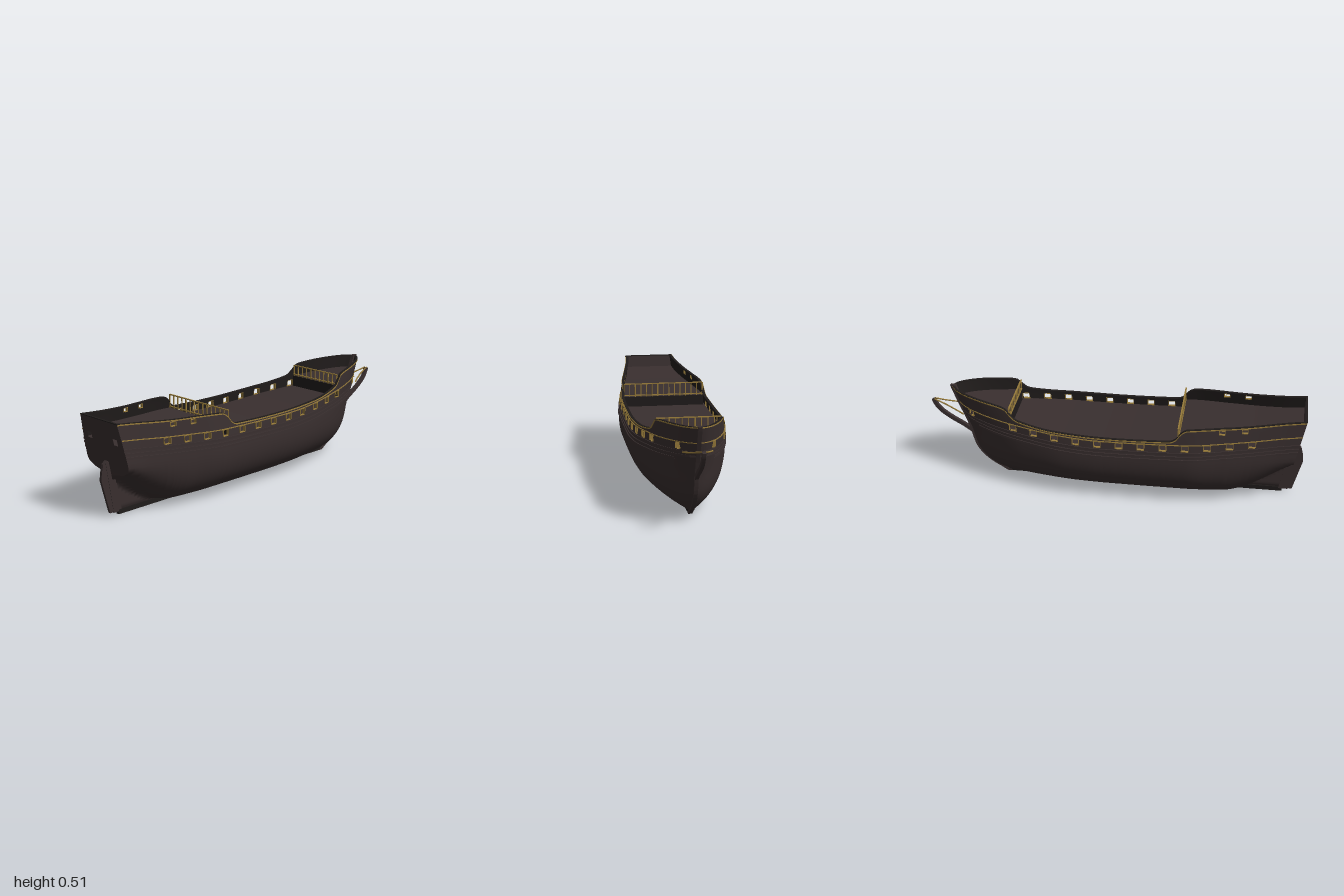
import * as THREE from 'three';

// Monotone smooth interpolation through [x, y] points
function curve(pts) {
  const s = pts.slice(1).map((p, i) => (p[1] - pts[i][1]) / (p[0] - pts[i][0]));
  const m = pts.map((p, i) => {
    if (i === 0) return s[0];
    if (i === pts.length - 1) return s[i - 1];
    return s[i - 1] * s[i] <= 0 ? 0 : 2 * s[i - 1] * s[i] / (s[i - 1] + s[i]);
  });
  return x => {
    if (x <= pts[0][0]) return pts[0][1];
    if (x >= pts[pts.length - 1][0]) return pts[pts.length - 1][1];
    let i = 0;
    while (x > pts[i + 1][0]) i++;
    const h = pts[i + 1][0] - pts[i][0], t = (x - pts[i][0]) / h, t2 = t * t, t3 = t2 * t;
    return (2 * t3 - 3 * t2 + 1) * pts[i][1] + (t3 - 2 * t2 + t) * h * m[i]
      + (3 * t2 - 2 * t3) * pts[i + 1][1] + (t3 - t2) * h * m[i + 1];
  };
}

// Hull lines: stem and stern profiles, plan, rail height and trim line
const bowX = curve([[0, 0.59], [0.02, 0.62], [0.05, 0.67], [0.1, 0.725], [0.15, 0.757], [0.2, 0.773], [0.25, 0.785], [0.3, 0.802], [0.4, 0.842], [0.505, 0.882]]);
const sternX = curve([[0, -0.895], [0.02, -0.9], [0.28, -0.952], [0.505, -1]]);
const plan = curve([[-1, 0.158], [-0.9, 0.166], [-0.8, 0.182], [-0.6, 0.217], [-0.4, 0.245], [-0.1, 0.247], [0.1, 0.246], [0.3, 0.235], [0.54, 0.19], [0.7, 0.14], [0.8, 0.092], [0.86, 0.047], [0.882, 0.018], [0.89, 0]]);
const rail = curve([[-1, 0.505], [-0.7, 0.475], [-0.4, 0.458], [-0.37, 0.443], [-0.34, 0.405], [-0.31, 0.391], [0, 0.383], [0.3, 0.393], [0.5, 0.42], [0.53, 0.44], [0.56, 0.474], [0.6, 0.484], [0.89, 0.507]]);
const trim = curve([[-1, 0.425], [-0.7, 0.395], [-0.3, 0.374], [0.05, 0.368], [0.5, 0.393], [0.88, 0.425]]);

function half(u, y) {
  const s = Math.max(0, 1 - u / 0.2), y0 = 0.02 + 0.19 * s * s, p = 2.3 - 0.7 * s;
  const B = plan(-1 + 1.89 * u);
  if (y < 0.27) {
    const t = Math.max(0, (y - y0) / (0.27 - y0));
    return Math.max(Math.min(0.008, (y - 0.02) * 0.4), B * Math.pow(1 - Math.pow(1 - t, p), 1 / p));
  }
  return B * (1 - 1.1 * Math.pow(y - 0.27, 1.5) * (1 - Math.pow(u, 6)));
}
// Point on the hull side at length fraction u on the level line y = f(x)
function hullPoint(u, f) {
  let y = 0.4, x = 0;
  for (let i = 0; i < 8; i++) {
    x = sternX(y) + u * (bowX(y) - sternX(y));
    y = f(x);
  }
  return [x, y, half(u, y)];
}
const uOf = (x, y) => (x - sternX(y)) / (bowX(y) - sternX(y));

function grid(nu, nv, fn, { skip, flip, flat } = {}) {
  const pos = [], idx = [];
  for (let j = 0; j < nv; j++) for (let i = 0; i < nu; i++) pos.push(...fn(i, j));
  for (let j = 0; j < nv - 1; j++) for (let i = 0; i < nu - 1; i++) {
    if (skip && skip(i, j)) continue;
    const a = j * nu + i, b = a + 1, c = a + nu, d = c + 1;
    if (flip) idx.push(a, d, b, a, c, d);
    else idx.push(a, b, d, a, d, c);
  }
  let g = new THREE.BufferGeometry();
  g.setAttribute('position', new THREE.Float32BufferAttribute(pos, 3));
  g.setIndex(idx);
  if (flat) g = g.toNonIndexed();
  g.computeVertexNormals();
  return g;
}

export function createModel() {
  const ship = new THREE.Group();
  ship.name = 'sailingShipHull';
  const mat = (name, color) => {
    const m = new THREE.MeshStandardMaterial({ color, side: THREE.DoubleSide });
    m.name = name;
    return m;
  };
  const wood = mat('darkWood', 0x392f2f), black = mat('blackWood', 0x201c1b), gold = mat('gold', 0x967a3a);
  const add = (name, geo, m, parent = ship) => {
    const mesh = new THREE.Mesh(geo, m);
    mesh.name = name;
    parent.add(mesh);
    return mesh;
  };
  const box = (name, m, w, h, d, x, y, z, parent) => add(name, new THREE.BoxGeometry(w, h, d), m, parent).position.set(x, y, z);

  // Level lines of the hull, from keel to rail; port rows are open where a port sits
  const low = x => trim(x) - 0.035, high = x => trim(x) - 0.003;
  const between = k => x => trim(x) + k * (rail(x) - trim(x));
  const rows = [];
  for (let k = 0; k < 20; k++) rows.push(x => 0.02 + (low(x) - 0.02) * Math.pow(k / 20, 1.5));
  const portRow = rows.length;
  rows.push(low, high, trim);
  const upperRow = rows.length;
  rows.push(between(0.62), between(0.88), rail);

  // Gun ports, quarterdeck ports and hawse holes
  const ports = [];
  const port = (x, w, row) => {
    const y = (rows[row](x) + rows[row + 1](x)) / 2;
    ports.push({ u0: uOf(x - w / 2, y), u1: uOf(x + w / 2, y), row, w });
  };
  for (let i = 0; i < 12; i++) port(-0.73 + i * 0.1136, 0.036, portRow);
  port(0.76, 0.022, portRow);
  port(-0.69, 0.03, upperRow);
  port(-0.575, 0.03, upperRow);

  let us = [0.985, 0.994, 0.998];
  for (let i = 0; i <= 90; i++) us.push(i / 90);
  ports.forEach(p => us.push(p.u0, p.u1));
  us = us.sort((a, b) => a - b);
  const isOpen = (i, row) => {
    const m = (us[i] + us[i + 1]) / 2;
    return ports.some(p => p.row === row && m > p.u0 && m < p.u1);
  };

  for (const side of [1, -1]) {
    const label = side > 0 ? 'left' : 'right', flip = side < 0;
    // Planking and the inner face of the bulwark
    add(label + 'HullSide', grid(us.length, rows.length, (i, j) => {
      const [x, y, z] = hullPoint(us[i], rows[j]);
      return [x, y, z * side];
    }, { skip: isOpen, flip }), wood);
    add(label + 'InnerBulwark', grid(us.length, rows.length - portRow, (i, j) => {
      const [x, y, z] = hullPoint(us[i], rows[j + portRow]);
      return [x, y, Math.max(0, z - 0.01) * side];
    }, { skip: (i, j) => isOpen(i, j + portRow), flip: !flip }), black);

    // Long mouldings that follow the hull
    const strip = (name, m, f, h, inner, outer, u0 = 0, u1 = 1) => {
      const n = 110, corners = [[-h, inner], [-h, outer], [h, outer], [h, inner], [-h, inner]];
      add(label + name, grid(n, 5, (i, j) => {
        const [x, y, z] = hullPoint(u0 + (u1 - u0) * i / (n - 1), f);
        return [x, y + corners[j][0], Math.max(0, z + corners[j][1]) * side];
      }, { flat: true }), m);
    };
    strip('RailCap', black, rail, 0.002, -0.013, 0.002);
    strip('RailTrim', gold, x => rail(x) - 0.003, 0.003, -0.002, 0.004);
    strip('SideTrim', gold, trim, 0.0022, -0.002, 0.004);
    strip('UpperWale', wood, x => trim(x) - 0.048, 0.006, -0.002, 0.005);
    strip('MiddleWale', wood, x => trim(x) - 0.068, 0.005, -0.002, 0.005);
    strip('LowerWale', wood, x => trim(x) - 0.088, 0.006, -0.002, 0.005, 0, 0.95);

    // Gilded port linings
    for (const p of ports) {
      const mid = x => (rows[p.row](x) + rows[p.row + 1](x)) / 2;
      const lining = new THREE.Group();
      lining.name = label + 'PortLining';
      ship.add(lining);
      for (const u of [p.u0, p.u1]) {
        const [x, y, z] = hullPoint(u, mid);
        box('portJamb', gold, 0.003, rows[p.row + 1](x) - rows[p.row](x), 0.016, x, y, (z - 0.003) * side, lining);
      }
      for (const k of [0, 1]) {
        const [x, y, z] = hullPoint((p.u0 + p.u1) / 2, rows[p.row + k]);
        box('portSill', gold, p.w, 0.003, 0.014, x, y, (z - 0.004) * side, lining);
      }
    }

    // Curved head rail from the bow to the beak
    const path = new THREE.CatmullRomCurve3([[0.81, 0.373, 0.072], [0.86, 0.382, 0.045], [0.92, 0.398, 0.022], [0.985, 0.416, 0.006]]
      .map(([x, y, z]) => new THREE.Vector3(x, y, z * side)));
    add(label + 'HeadRail', new THREE.TubeGeometry(path, 16, 0.004, 6), gold);
  }

  // Transom with two stern ports
  const cols = [-1, -0.75, -0.55, 0.55, 0.75, 1];
  add('transom', grid(cols.length, rows.length, (i, j) => {
    const [x, y, z] = hullPoint(0, rows[j]);
    return [x, y, z * cols[i]];
  }, { skip: (i, j) => j === portRow && (i === 1 || i === 3), flat: true }), wood);
  const sternTop = hullPoint(0, rail);
  box('transomRail', black, 0.012, 0.004, sternTop[2] * 2, sternTop[0] + 0.006, sternTop[1], 0);

  // Decks
  const deck = (name, f, xa, xb) => {
    const ua = Math.max(0, uOf(xa, f(xa))), ub = Math.min(1, uOf(xb, f(xb)));
    add(name, grid(41, 2, (i, j) => {
      const [x, y, z] = hullPoint(ua + (ub - ua) * i / 40, f);
      return [x, y, Math.max(0, z - 0.002) * (j ? -1 : 1)];
    }), wood);
  };
  const mainDeck = x => trim(x) - 0.04, aftDeck = x => trim(x) + 0.015, foreDeck = x => trim(x) + 0.02;
  deck('mainDeck', mainDeck, -1, 0.9);
  deck('quarterDeck', aftDeck, -1, -0.35);
  deck('foreDeck', foreDeck, 0.54, 0.9);

  // Bulkheads and gilded balustrades at the deck breaks
  for (const [name, x, f, top] of [['quarterDeck', -0.352, aftDeck, 0.463], ['foreDeck', 0.542, foreDeck, 0.476]]) {
    const y0 = mainDeck(x), y1 = f(x), w = half(uOf(x, y1), y1) - 0.008;
    box(name + 'Bulkhead', black, 0.006, y1 - y0, w * 2, x, (y0 + y1) / 2, 0);
    const rails = new THREE.Group();
    rails.name = name + 'Balustrade';
    ship.add(rails);
    const wr = w - 0.006, n = Math.round(wr / 0.016);
    for (const y of [y1 + 0.008, top]) box('handRail', gold, 0.008, 0.005, wr * 2, x, y, 0, rails);
    for (let i = 0; i <= n; i++)
      box('baluster', gold, 0.005, top - y1, i % 4 ? 0.004 : 0.007, x, (top + y1) / 2, wr * (2 * i / n - 1), rails);
  }

  // Flat timbers on the centreline: stem, keel, sternpost and rudder
  const slab = (name, pts, d, m) => {
    const g = new THREE.ExtrudeGeometry(new THREE.Shape(pts.map(p => new THREE.Vector2(...p))), { depth: d, bevelEnabled: false });
    g.translate(0, 0, -d / 2);
    add(name, g, m);
  };
  const front = [], back = [];
  for (let i = 0; i <= 24; i++) {
    const y = 0.51 * i / 24;
    front.push([bowX(y) + 0.009, y]);
    back.unshift([bowX(y) - 0.02, y]);
  }
  slab('stem', [...front, ...back], 0.02, wood);
  box('keel', black, 1.5, 0.024, 0.018, -0.15, 0.012, 0);
  slab('sternpost', [[-0.88, 0.015], [-0.93, 0.015], [-0.972, 0.285], [-0.93, 0.285]], 0.018, wood);
  slab('rudder', [[-0.905, 0.018], [-0.952, 0.018], [-1, 0.195], [-0.995, 0.235], [-0.985, 0.275], [-0.965, 0.292], [-0.955, 0.285]], 0.014, wood);

  // Curved beak under the bow
  const centre = new THREE.CatmullRomCurve3([[0.78, 0.235], [0.83, 0.27], [0.9, 0.312], [0.955, 0.355], [0.98, 0.39], [0.99, 0.415]]
    .map(([x, y]) => new THREE.Vector3(x, y, 0)));
  const outer = [], inner = [];
  for (let i = 0; i <= 20; i++) {
    const p = centre.getPoint(i / 20), t = centre.getTangent(i / 20);
    outer.push([p.x + t.y * 0.01, p.y - t.x * 0.01]);
    inner.unshift([p.x - t.y * 0.01, p.y + t.x * 0.01]);
  }
  slab('beak', [...outer, ...inner], 0.018, wood);
  return ship;
}
